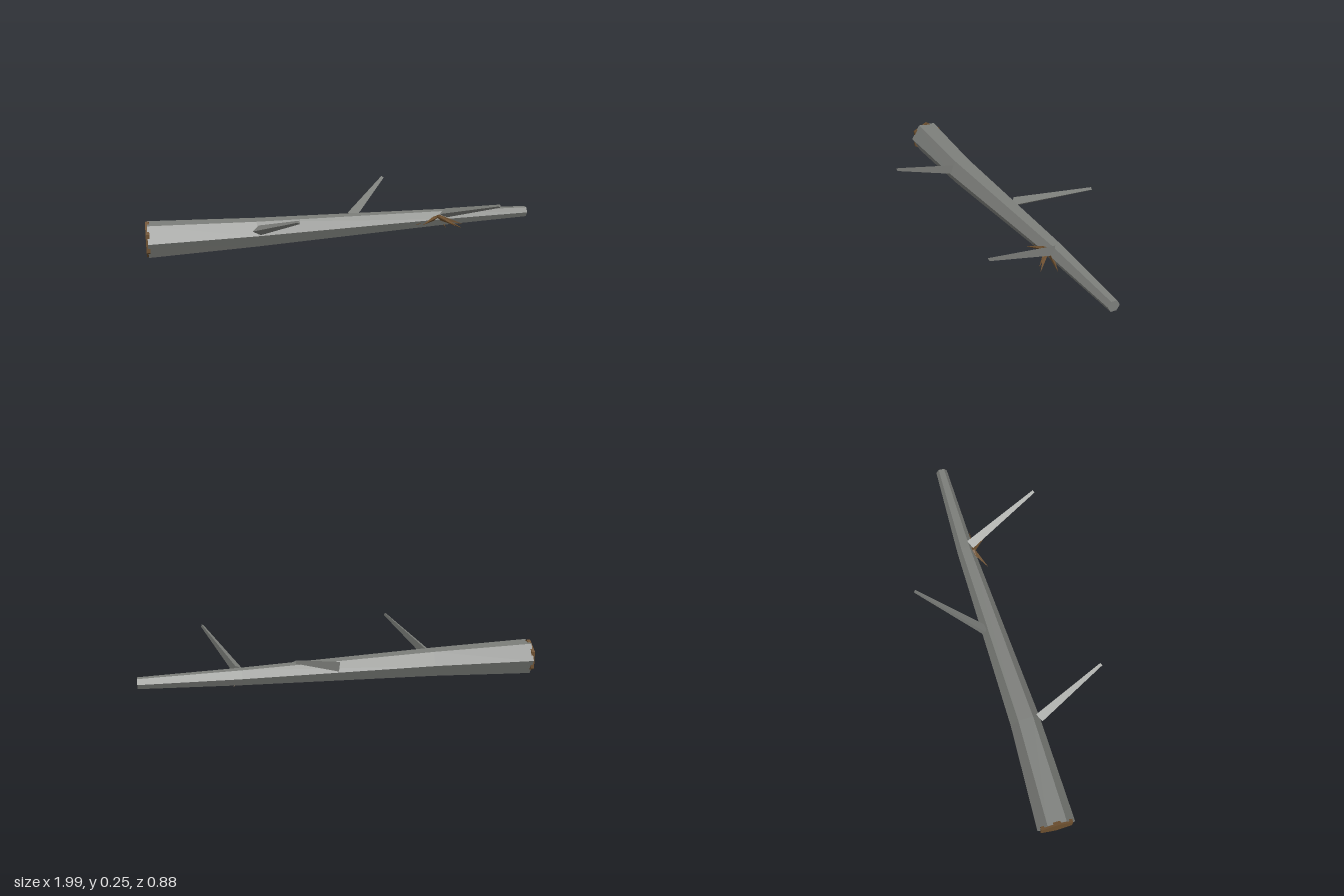
import * as THREE from 'three';

const bark = new THREE.MeshStandardMaterial({ color: 0x7c7e7a, flatShading: true });
bark.name = 'greyBark';
const wood = new THREE.MeshStandardMaterial({ color: 0x6b4e2e, flatShading: true });
wood.name = 'brownWood';

const UP = new THREE.Vector3(0, 1, 0);

// Three-sided tapered spike running from one point to another
function spike(name, from, to, r0, r1, material) {
  const a = new THREE.Vector3(...from);
  const dir = new THREE.Vector3(...to).sub(a);
  const length = dir.length();
  const geo = new THREE.CylinderGeometry(r1, r0, length, 3);
  geo.rotateY(Math.PI);
  geo.translate(0, length / 2, 0);
  const mesh = new THREE.Mesh(geo, material);
  mesh.name = name;
  mesh.position.copy(a);
  mesh.quaternion.setFromUnitVectors(UP, dir.normalize());
  return mesh;
}

// Bent six-sided trunk: each ring has a centre x, z, a radius and a lean
function trunk() {
  const rings = [
    [-0.98, 0.12, 0.092, 0.13],
    [-0.46, 0.039, 0.074, 0.17],
    [0.5, -0.157, 0.044, 0.19],
    [0.99, -0.238, 0.029, 0.16],
  ];
  const geo = new THREE.CylinderGeometry(1, 1, 1, 6, 3);
  geo.rotateZ(-Math.PI / 2);
  const p = geo.attributes.position;
  for (let i = 0; i < p.count; i++) {
    const [x, z, r, lean] = rings[Math.round((p.getX(i) + 0.5) * 3)];
    const dz = p.getZ(i) * r;
    p.setXYZ(i, x + lean * dz, 0.09 + p.getY(i) * r, z + dz);
  }
  geo.computeVertexNormals();
  const mesh = new THREE.Mesh(geo, bark);
  mesh.name = 'trunk';
  return mesh;
}

export function createModel() {
  const group = new THREE.Group();
  group.name = 'fallenLog';
  group.add(trunk());

  // Cut face at the thick end, turned so its corners stick out past the bark
  const cut = new THREE.CylinderGeometry(0.09, 0.09, 0.018, 6);
  cut.rotateY(Math.PI / 6);
  cut.rotateZ(-Math.PI / 2);
  cut.rotateY(0.13);
  const cutFace = new THREE.Mesh(cut, wood);
  cutFace.name = 'cutFace';
  cutFace.position.set(-0.98, 0.09, 0.12);
  group.add(cutFace);

  // Bare branches
  const branches = [
    [[-0.45, 0.117, 0.107], [-0.256, 0.247, 0.433]],
    [[0.03, 0.118, -0.105], [0.234, 0.247, -0.436]],
    [[0.522, 0.118, -0.13], [0.724, 0.247, 0.23]],
  ];
  branches.forEach(([a, b], i) => group.add(spike('branch' + (i + 1), a, b, 0.028, 0.009, bark)));

  // Tuft of splinters at the foot of the last branch
  const tips = [
    [0.4, 0.08, -0.05], [0.37, 0.07, -0.09], [0.6, 0.06, -0.05],
    [0.57, 0.07, -0.055], [0.62, 0.06, -0.125], [0.54, 0.035, -0.15],
  ];
  const tuft = new THREE.Group();
  tuft.name = 'splinters';
  tips.forEach((t, i) => tuft.add(spike('splinter' + (i + 1), [0.49, 0.103, -0.122], t, 0.016, 0.001, wood)));
  group.add(tuft);

  return group;
}
